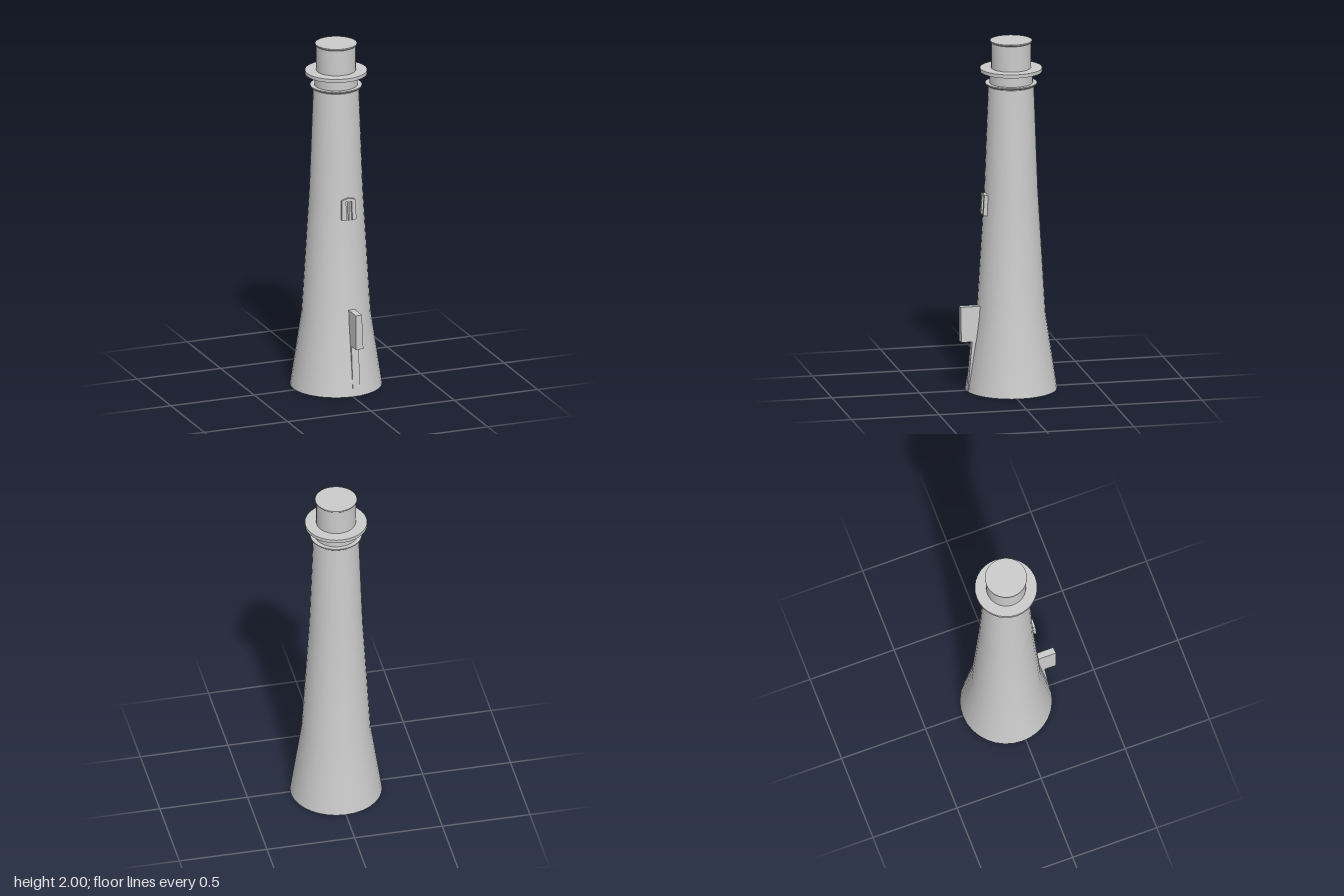
import * as THREE from 'three';
import { toCreasedNormals } from 'three/addons/utils/BufferGeometryUtils.js';

const AXIS_Z = -0.022; // tower axis, set back because the door canopy juts forward
const material = new THREE.MeshStandardMaterial({ color: 0xcccccc, side: THREE.DoubleSide });

function addPart(parent, name, geometry) {
  const mesh = new THREE.Mesh(geometry, material);
  mesh.name = name;
  parent.add(mesh);
  return mesh;
}

// Turned part from [radius, y] pairs, bottom to top
function turned(points) {
  const profile = points.map(([r, y]) => new THREE.Vector2(r, y));
  return toCreasedNormals(new THREE.LatheGeometry(profile, 32), 0.5);
}

function shapeOf(points) {
  return new THREE.Shape(points.map(([x, y]) => new THREE.Vector2(x, y)));
}

export function createModel() {
  const group = new THREE.Group();
  group.name = 'lighthouse';

  const tower = new THREE.Group();
  tower.name = 'tower';
  tower.position.z = AXIS_Z;
  group.add(tower);

  // Tapered body with a flared foot
  addPart(tower, 'body', turned([[0, 0], [0.257, 0], [0.193, 0.43], [0.15, 1.15], [0.128, 1.74], [0, 1.74]]));
  // Thin moulding under the neck
  addPart(tower, 'moulding', turned([[0.12, 1.742], [0.138, 1.746], [0.145, 1.752], [0.145, 1.758], [0.118, 1.758]]));
  addPart(tower, 'neck', turned([[0.121, 1.74], [0.121, 1.83]]));
  addPart(tower, 'gallery', turned([[0, 1.823], [0.174, 1.823], [0.174, 1.843], [0, 1.843]]));
  // Lantern room with a fine lip at its flat top
  addPart(tower, 'lantern', turned([[0.111, 1.84], [0.111, 1.988], [0.117, 1.994], [0.117, 2], [0, 2]]));

  // Door canopy: a block whose left side leans outward toward the bottom
  const canopyGeometry = new THREE.BoxGeometry(0.037, 0.2, 0.135).translate(0.0185, 0.388, 0.2085);
  const pos = canopyGeometry.attributes.position;
  for (let i = 0; i < pos.count; i++) {
    if (pos.getX(i) < 0.01) continue;
    if (pos.getY(i) < 0.388) pos.setX(i, 0.046);
    if (pos.getZ(i) > 0.2) pos.setZ(i, 0.272);
  }
  canopyGeometry.computeVertexNormals();
  addPart(group, 'doorCanopy', canopyGeometry);

  // Door panel, nearly flush with the foot
  const doorProfile = shapeOf([[-0.234, 0], [-0.209, 0.288], [-0.15, 0.288], [-0.15, 0]]);
  const doorGeometry = new THREE.ExtrudeGeometry(doorProfile, { depth: 0.043, bevelEnabled: false });
  doorGeometry.rotateY(Math.PI / 2);
  addPart(group, 'door', doorGeometry);

  // Window surround with an open slot, leaning with the wall
  const surround = shapeOf([
    [-0.031, -0.055], [-0.005, -0.06], [-0.005, 0.05], [0.03, 0.05], [0.03, -0.06],
    [0.055, -0.055], [0.05, 0.06], [0.012, 0.07], [-0.031, 0.058],
  ]);
  const windowGeometry = new THREE.ExtrudeGeometry(surround, { depth: 0.024, bevelEnabled: false });
  const windowFrame = addPart(group, 'windowFrame', windowGeometry);
  windowFrame.position.set(0, 1.065, 0.121);
  windowFrame.rotation.x = -0.06;

  // Narrow glazing bar inside the slot
  const bar = addPart(group, 'windowBar', new THREE.BoxGeometry(0.008, 0.11, 0.02));
  bar.position.set(0.012, 1.06, 0.13);
  bar.rotation.x = -0.06;

  return group;
}
